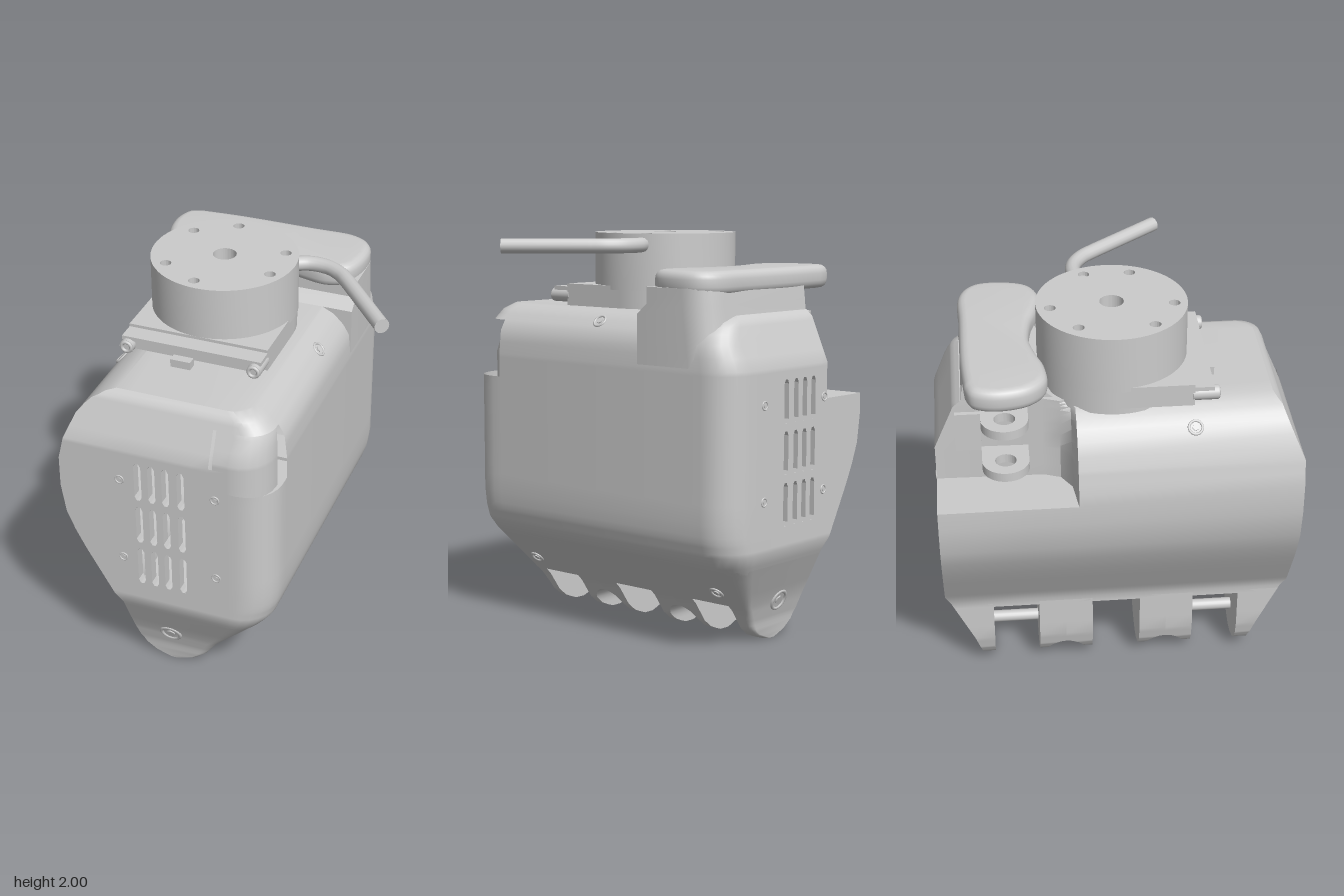
import * as THREE from 'three';
import { toCreasedNormals } from 'three/addons/utils/BufferGeometryUtils.js';

const mat = new THREE.MeshStandardMaterial({ color: 0xcccccc, side: THREE.DoubleSide });

// Piecewise linear table lookup
function table(pairs) {
  return (y) => {
    if (y <= pairs[0][0]) return pairs[0][1];
    for (let i = 1; i < pairs.length; i++) {
      const [a, va] = pairs[i - 1], [b, vb] = pairs[i];
      if (y <= b) return va + (vb - va) * (y - a) / (b - a);
    }
    return pairs[pairs.length - 1][1];
  };
}
// Silhouette of the housing by height
const xMin = table([[0, -.25], [.01, -.28], [.03, -.33], [.07, -.38], [.12, -.41], [.2, -.43], [.45, -.43], [.52, -.47], [.75, -.6],
  [.85, -.65], [.95, -.69], [1.1, -.712], [1.26, -.71], [1.38, -.68], [1.5, -.63], [1.55, -.59], [1.58, -.56], [1.615, -.5], [1.63, -.45]]);
const xMax = table([[0, -.19], [.01, -.16], [.03, -.11], [.07, -.06], [.17, .01], [.44, .275], [.5, .32], [.57, .342], [.66, .353],
  [1.38, .353], [1.5, .34], [1.55, .31], [1.6, .26], [1.63, .2]]);
const zHalf = table([[0, .68], [.1, .69], [.2, .72], [.44, .835], [.5, .86], [1.38, .86], [1.6, .765], [1.63, .73]]);
const radius = table([[0, .03], [.2, .05], [.5, .17], [1.4, .17], [1.63, .1]]);

// Skin between horizontal loops [x, z, tag], counterclockwise from above
function loft(rows, keep = () => true, caps = true) {
  const pos = [];
  const put = (y, p) => pos.push(p[0], y, p[1]);
  for (let i = 0; i + 1 < rows.length; i++) {
    const a = rows[i], b = rows[i + 1], n = a.pts.length;
    for (let j = 0; j < n; j++) {
      const k = (j + 1) % n;
      if (!keep(a.pts[j][2], (a.y + b.y) / 2)) continue;
      put(a.y, a.pts[j]); put(a.y, a.pts[k]); put(b.y, b.pts[k]);
      put(a.y, a.pts[j]); put(b.y, b.pts[k]); put(b.y, b.pts[j]);
    }
  }
  if (caps) {
    [[rows[0], true], [rows[rows.length - 1], false]].forEach(([r, down]) => {
      const tris = THREE.ShapeUtils.triangulateShape(r.pts.map((p) => new THREE.Vector2(p[0], -p[1])), []);
      tris.forEach((t) => (down ? [t[0], t[2], t[1]] : t).forEach((v) => put(r.y, r.pts[v])));
    });
  }
  const g = new THREE.BufferGeometry();
  g.setAttribute('position', new THREE.Float32BufferAttribute(pos, 3));
  return toCreasedNormals(g, .55);
}

// Quarter circle from +z round to +x
function corner(x, z, r, tag) {
  const out = [];
  for (let i = 0; i <= 6; i++) {
    const t = i / 6 * Math.PI / 2;
    out.push([x - r + r * Math.sin(t), z - r + r * Math.cos(t), tag]);
  }
  return out;
}

// Housing section; the notch makes room for the thumb joint
function housingLoop(y, notch, d = 0) {
  const x0 = xMin(y) + d, x1 = xMax(y) - d, z = zHalf(y) - d, r = radius(y);
  const c = x1 - r, front = corner(x1, z, r, 'window');
  const back = corner(x1, z, r, '').reverse().map((p) => [p[0], -p[1], '']);
  const cut = notch
    ? [[-.43, -.35], [-.46, -.27], [x0 * .4 - .43 * .6, -.22]]
    : [[(x0 - .42) / 2, -z], [x0, -z], [x0, -.45]];
  return [[x0, -.2], [x0, z], [-.37, z, 'panel'], [-.03, z], [Math.min(.05, c - .02), z, 'step'],
    [Math.min(.14, c - .01), z, 'window'], ...front, [x1, Math.min(.64, z - r - .01)], ...back,
    [-.03, -z, 'panel'], [-.37, -z], [-.42, -z], ...cut];
}

// Block with one rounded outer corner; f(y) gives x0, x1, z0, z1, r; s mirrors z
function block(ys, f, s = 1) {
  return loft(ys.map((y) => {
    const [x0, x1, z0, z1, r] = f(y);
    const pts = [[x0, z0], [x0, z1], ...(r ? corner(x1, z1, r, '') : [[x1, z1]]), [x1, z0]];
    if (s < 0) { pts.forEach((p) => { p[1] *= -1; }); pts.reverse(); }
    return { y, pts };
  }));
}

function holed(shape, circles) {
  circles.forEach(([x, y, r]) => shape.holes.push(new THREE.Path().absarc(x, y, r, 0, Math.PI * 2, true)));
  return shape;
}
// Plan shape (x, -z) raised from y0 to y1
function raise(shape, y0, y1, bevel = 0) {
  const g = new THREE.ExtrudeGeometry(shape, { depth: y1 - y0 - 2 * bevel, curveSegments: 32, bevelEnabled: bevel > 0,
    bevelSize: bevel, bevelThickness: bevel, bevelOffset: -bevel, bevelSegments: 4 });
  return toCreasedNormals(g.rotateX(-Math.PI / 2).translate(0, y0 + bevel, 0), .6);
}

export function createModel() {
  const model = new THREE.Group();
  const add = (name, geo, x = 0, y = 0, z = 0) => {
    const m = new THREE.Mesh(geo, mat);
    m.name = name;
    m.position.set(x, y, z);
    model.add(m);
    return m;
  };

  // Housing shell with vent openings, corner window and thumb notch
  const low = [.4, .44, .5, .52, .55, .57, .6, .66, .75, .85, .95, 1.1, 1.2];
  const high = [1.2, 1.26, 1.32, 1.36, 1.38, 1.44, 1.5, 1.55, 1.58, 1.6, 1.615, 1.63];
  const rows = (d) => [...low.map((y) => ({ y, pts: housingLoop(y, false, d) })), ...high.map((y) => ({ y, pts: housingLoop(y, true, d) }))];
  const inWindow = (t, y) => (t === 'window' && y > 1.26 && y < 1.55) || (t === 'step' && y > 1.38 && y < 1.55);
  add('housing', loft(rows(0), (t, y) => !(t === 'panel' && y > .55 && y < 1.36) && !inWindow(t, y)));
  add('windowRecess', loft(rows(.05), (t, y) => (t === 'window' || t === 'step') && y > 1.2 && y < 1.58, false));

  // Slotted vent panels, front and back
  const panel = new THREE.Shape([[-.37, .55], [-.03, .55], [-.03, 1.36], [-.37, 1.36]].map((p) => new THREE.Vector2(...p)));
  for (const x of [-.307, -.237, -.167, -.09]) for (const y of [.715, .965, 1.215]) {
    const w = .018, h = .105, b = .02;
    panel.holes.push(new THREE.Path([[-w, -h + b], [-w, h - b], [-w + b / 2, h], [w - b / 2, h], [w, h - b], [w, -h + b],
      [w - b / 2, -h], [-w + b / 2, -h]].map((p) => new THREE.Vector2(x + p[0], y + p[1]))));
  }
  const panelGeo = new THREE.ExtrudeGeometry(panel, { depth: .05, bevelEnabled: false });
  add('frontVent', panelGeo, 0, 0, .81);
  add('backVent', panelGeo, 0, 0, -.86);

  // Finger knuckles: outer cheeks and arched inner lugs
  const ys = [0, .01, .03, .05, .07, .09, .11, .12, .13, .135, .17, .2, .28, .36, .42];
  const arch = (y) => (y >= .135 ? 0 : y < .04 ? .095 : .095 * Math.sqrt(1 - ((y - .04) / .095) ** 2));
  const wallYs = [.2, .28, .36, .44];
  for (const s of [1, -1]) {
    add('outerKnuckle', block(ys, (y) => [xMin(y), xMax(y), .62, zHalf(y), radius(y)], s));
    add('innerKnuckle', block(ys, (y) => [xMin(y), xMax(y), .12, .255 - arch(y), 0], s));
    add('innerKnuckle', block(ys, (y) => [xMin(y), xMax(y), .255 + arch(y), .39, 0], s));
    add('knuckleWall', block(wallYs, (y) => [xMax(y) - .09, xMax(y), -.01, .64, 0], s));
    add('knucklePin', new THREE.CylinderGeometry(.03, .03, .3, 20).rotateX(Math.PI / 2), -.22, .165, s * .5);
  }

  // Thumb cover and the tower carrying it
  const bean = new THREE.Shape(new THREE.SplineCurve([[-.6, .705], [-.35, .72], [0, .72], [.22, .72], [.33, .65], [.35, .52], [.31, .38], [.2, .325],
    [.07, .345], [-.05, .38], [-.2, .395], [-.33, .37], [-.45, .335], [-.58, .335], [-.67, .42], [-.7, .56], [-.67, .67], [-.6, .705]]
    .map((p) => new THREE.Vector2(...p))).getPoints(90).slice(0, -1));
  add('thumbCover', raise(bean, 1.725, 1.84, .04));
  add('coverTower', block([1.35, 1.45, 1.55, 1.63, 1.68, 1.76], (y) =>
    [-.42, .352, y < 1.64 ? .3 : .36, Math.min(zHalf(y), .735 - (y - 1.6) * .12) - .005, .14], -1));

  // Thumb hinge lugs in the notch
  for (const y of [1.33, 1.56]) {
    const lug = new THREE.Shape().moveTo(-.38, .64).lineTo(-.55, .64).absarc(-.55, .53, .11, Math.PI / 2, Math.PI * 1.5, false).lineTo(-.38, .42);
    add('thumbLug', raise(holed(lug, [[-.55, .53, .05]]), y, y + .045));
  }
  add('thumbClamp', new THREE.BoxGeometry(.05, .2, .12), -.42, 1.47, -.7);

  // Wrist motor with its bolt holes
  const disc = new THREE.Shape().absarc(0, 0, .355, 0, Math.PI * 2, false);
  const bolts = [[-.04, .29], [-.23, .17], [-.23, -.18], [-.04, -.29], [.27, -.11], [.27, .11]].map((p) => [...p, .027]);
  add('motor', raise(holed(disc, [[0, 0, .057], ...bolts]), 1.72, 2), -.2, 0, -.005);
  add('motorFoot', new THREE.CylinderGeometry(.35, .35, .16, 48), -.2, 1.68, -.005);
  add('motorFloor', new THREE.CylinderGeometry(.33, .33, .01, 32), -.2, 1.9, -.005);

  // Mounting frame and front clamp rail
  add('mountBase', new THREE.BoxGeometry(.7, .11, .36), -.2, 1.685, .17);
  add('clampRail', new THREE.BoxGeometry(.62, .04, .08), -.2, 1.68, .39);
  add('clampLip', new THREE.BoxGeometry(.7, .02, .1), -.2, 1.715, .39);
  add('clampTab', new THREE.BoxGeometry(.1, .04, .05), -.24, 1.65, .45);
  for (const s of [1, -1]) {
    add('clampBolt', new THREE.CylinderGeometry(.035, .035, .12, 20).rotateX(Math.PI / 2), -.2 + s * .32, 1.68, .4);
    add('clampBoltHead', new THREE.TorusGeometry(.024, .009, 8, 20), -.2 + s * .32, 1.68, .46);
  }

  // Motor cable
  const path = new THREE.CurvePath();
  const v = (x, z) => new THREE.Vector3(x, 1.945, z);
  path.add(new THREE.CatmullRomCurve3([v(.08, -.11), v(.18, -.155), v(.27, -.15), v(.35, -.105), v(.41, -.04)]));
  path.add(new THREE.LineCurve3(v(.41, -.04), v(.675, .285)));
  add('cable', new THREE.TubeGeometry(path, 50, .036, 14, false));
  const end = add('cableEnd', new THREE.CircleGeometry(.036, 14), .675, 1.945, .285);
  end.rotation.y = Math.atan2(.265, .325);

  // Screws: recessed ring and core, facing a given direction
  const screw = (x, y, z, dir, r) => {
    const g = new THREE.Group();
    g.name = 'screw';
    const ring = new THREE.Mesh(new THREE.TorusGeometry(r, r * .2, 8, 20), mat);
    const core = new THREE.Mesh(new THREE.CylinderGeometry(r * .5, r * .5, r * .3, 6).rotateX(Math.PI / 2), mat);
    g.add(ring, core);
    g.position.set(x, y, z);
    g.quaternion.setFromUnitVectors(new THREE.Vector3(0, 0, 1), new THREE.Vector3(...dir).normalize());
    model.add(g);
  };
  screw(.285, 1.575, 0, [1, 1, 0], .032);
  screw(-.6, 1.54, .35, [-1, 1, 0], .032);
  for (const s of [1, -1]) {
    screw(.12, .28, s * .61, [1, -1, 0], .033);
    screw(-.23, .2, s * .72, [0, -.4, s], .05);
    for (const x of [-.4, .08]) for (const y of [.75, 1.21]) screw(x, y, s * .86, [0, 0, s], .02);
  }
  return model;
}
